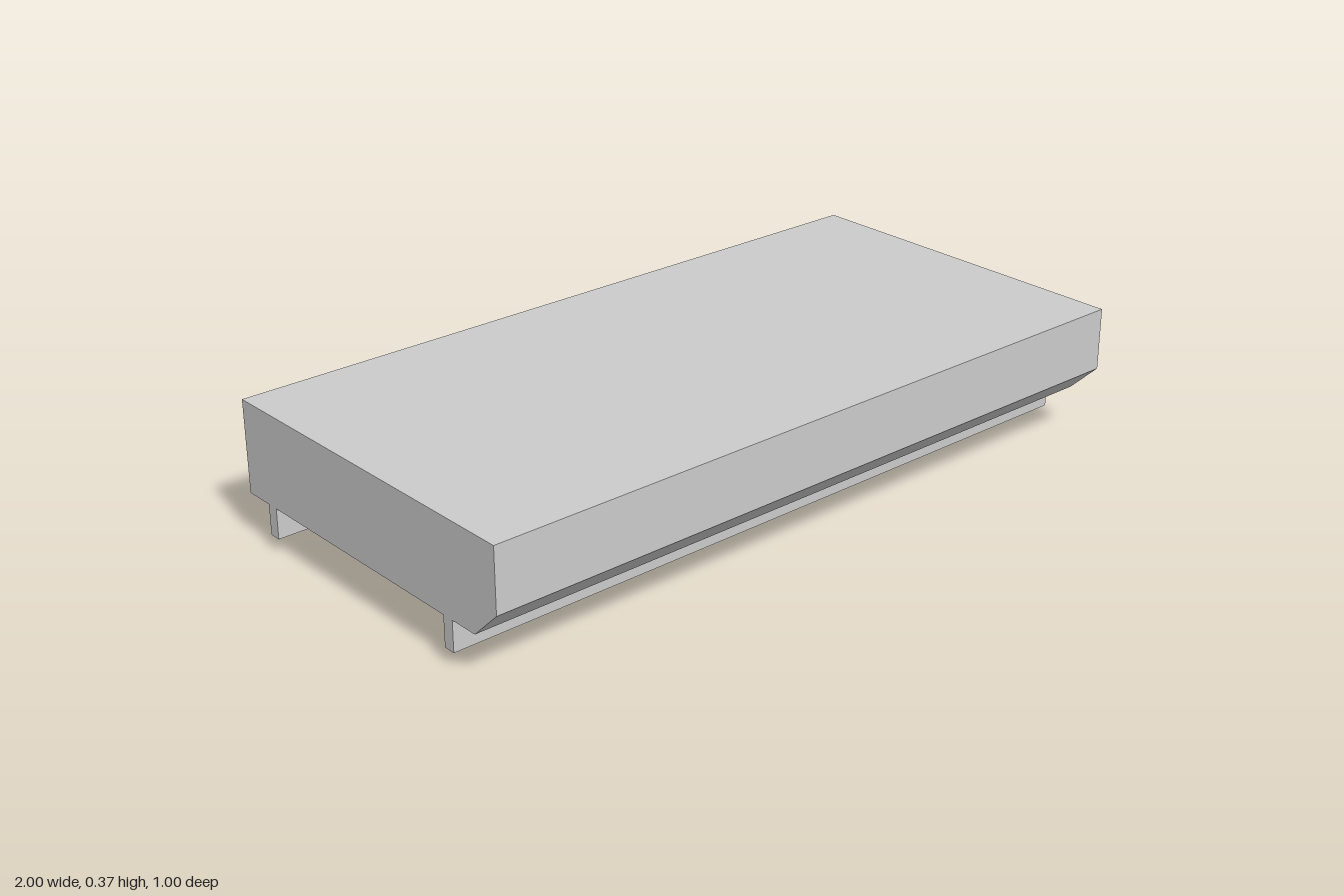
import * as THREE from 'three';

const material = new THREE.MeshStandardMaterial({ color: 0xcccccc });

// Extrude a side profile of [z, y] points across the width, centred on x = 0
function sideExtrusion(name, profile, halfWidth) {
  const shape = new THREE.Shape(profile.map(([z, y]) => new THREE.Vector2(-z, y)));
  const geometry = new THREE.ExtrudeGeometry(shape, { depth: halfWidth * 2, bevelEnabled: false });
  geometry.translate(0, 0, -halfWidth).rotateY(Math.PI / 2);
  const mesh = new THREE.Mesh(geometry, material);
  mesh.name = name;
  return mesh;
}

export function createModel() {
  const model = new THREE.Group();
  model.name = 'slab';
  const bottom = 0.12;

  // Main slab with a chamfered lower front edge
  model.add(sideExtrusion('body', [
    [0.5, 0.37], [0.5, 0.2], [0.417, bottom], [-0.5, bottom], [-0.5, 0.37],
  ], 1));

  // Full-width rails under the slab
  for (const [name, z] of [['frontRail', 0.318], ['backRail', -0.4]]) {
    const rail = new THREE.Mesh(new THREE.BoxGeometry(2, 0.083, 0.033), material);
    rail.name = name;
    rail.position.set(0, bottom - 0.0415, z);
    model.add(rail);
  }

  // Carriage plate with a downward lip over each roller
  model.add(sideExtrusion('carriage', [
    [0.283, bottom], [0.283, 0.035], [0.217, 0.035], [0.217, 0.069],
    [-0.3, 0.069], [-0.3, 0.035], [-0.366, 0.035], [-0.366, bottom],
  ], 0.75));

  // Rollers, a little longer than the carriage
  const radius = 0.0335;
  for (const [name, z] of [['frontRoller', 0.25], ['backRoller', -0.333]]) {
    const roller = new THREE.Mesh(new THREE.CylinderGeometry(radius, radius, 1.667, 32), material);
    roller.name = name;
    roller.rotation.z = Math.PI / 2;
    roller.position.set(0, radius, z);
    model.add(roller);
  }
  return model;
}
